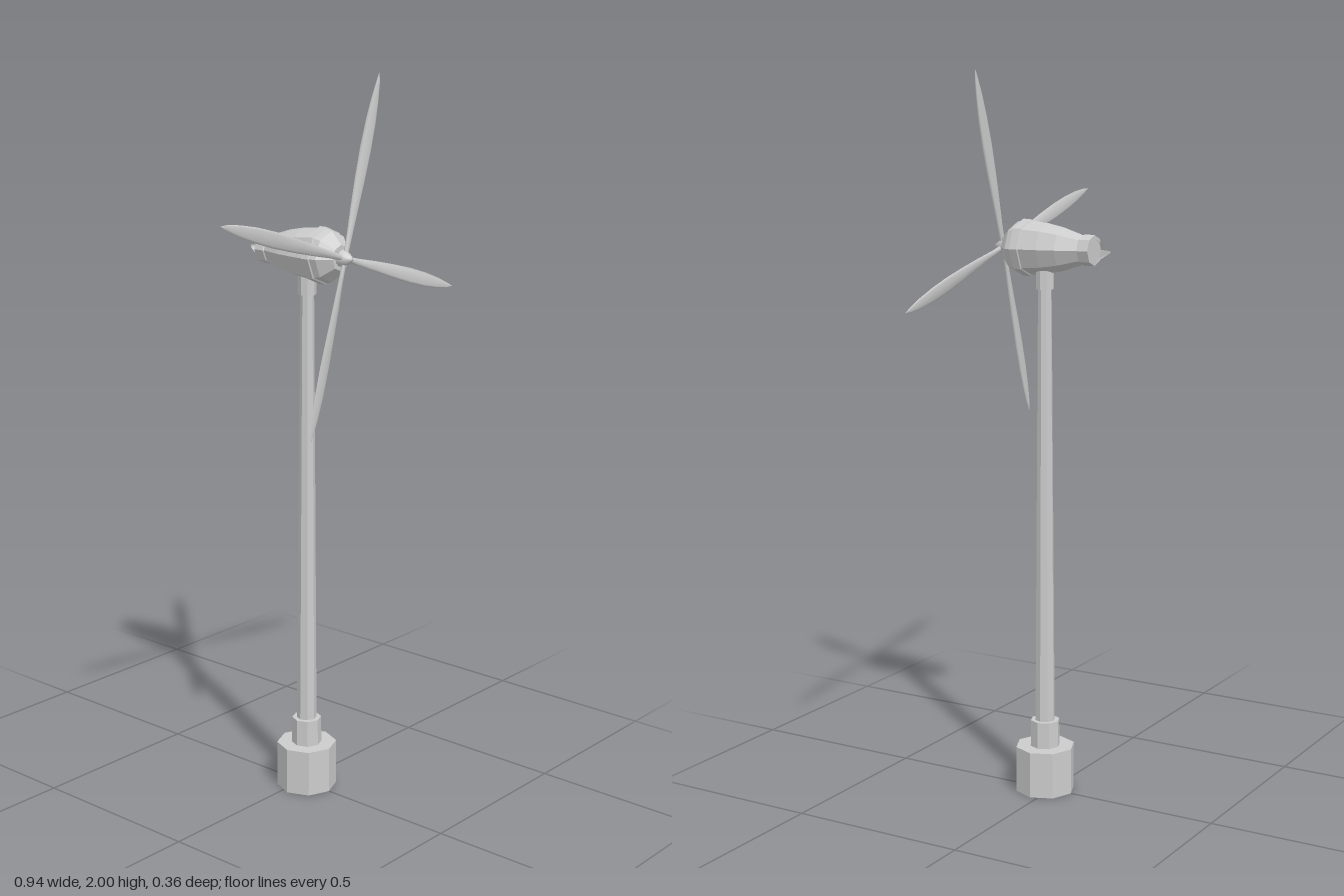
import * as THREE from 'three';

const AXIS_Y = 1.53, TOWER_Z = 0.02, SIDES = 8;

export function createModel() {
  const root = new THREE.Group();
  root.name = 'windTurbine';
  const faceted = new THREE.MeshStandardMaterial({ color: 0xcccccc, flatShading: true });
  const smooth = new THREE.MeshStandardMaterial({ color: 0xcccccc, side: THREE.DoubleSide });

  const add = (name, geometry, material = faceted, parent = root) => {
    const mesh = new THREE.Mesh(geometry, material);
    mesh.name = name;
    parent.add(mesh);
    return mesh;
  };

  // Tower: stacked eight-sided sections [name, bottom y, top y, bottom radius, top radius]
  [
    ['foundation', 0, 0.13, 0.084, 0.084],
    ['lowerCollar', 0.13, 0.205, 0.042, 0.041],
    ['mast', 0.2, 1.44, 0.028, 0.019],
    ['upperCollar', 1.42, 1.49, 0.025, 0.025],
  ].forEach(([name, y0, y1, r0, r1]) => {
    add(name, new THREE.CylinderGeometry(r1, r0, y1 - y0, SIDES))
      .position.set(0, (y0 + y1) / 2, TOWER_Z);
  });

  // Bodies turned around the rotor axis, profile as [radius, z] from back to front
  const turned = (name, profile, sides, material) => {
    const g = new THREE.LatheGeometry(profile.map(([r, z]) => new THREE.Vector2(r, z)), sides);
    add(name, g.rotateX(Math.PI / 2), material).position.y = AXIS_Y;
  };
  turned('nacelle', [
    [0, -0.133], [0.041, -0.133], [0.042, -0.102], [0.039, -0.1], [0.058, -0.04],
    [0.068, 0.01], [0.073, 0.062], [0.077, 0.064], [0.077, 0.087], [0.073, 0.089],
    [0.068, 0.106], [0.035, 0.138], [0, 0.138],
  ], SIDES);
  turned('tailCone', [[0.031, -0.135], [0.02, -0.155], [0.006, -0.178], [0, -0.18]], SIDES);
  turned('hub', [
    [0, 0.13], [0.023, 0.136], [0.023, 0.145], [0.018, 0.157], [0.009, 0.171], [0, 0.176],
  ], 12, smooth);

  // Four identical blades on the rotor
  const rotor = new THREE.Group();
  rotor.name = 'rotor';
  rotor.position.set(0, AXIS_Y, 0.151);
  const bladeGeometry = makeBlade();
  for (let i = 0; i < 4; i++) {
    add('blade' + (i + 1), bladeGeometry, smooth, rotor).rotation.z = -0.28 + i * Math.PI / 2;
  }
  root.add(rotor);
  return root;
}

// Blade along +y, lofted through lens sections [distance, left edge, right edge, half thickness]
function makeBlade() {
  const sections = [
    [0.01, -0.007, 0.007, 0.006], [0.06, -0.009, 0.01, 0.005], [0.13, -0.014, 0.014, 0.005],
    [0.21, -0.018, 0.019, 0.005], [0.29, -0.02, 0.022, 0.0045], [0.36, -0.018, 0.021, 0.004],
    [0.42, -0.013, 0.016, 0.003], [0.465, -0.006, 0.009, 0.002], [0.49, -0.0005, 0.0005, 0.0005],
  ];
  const n = 8, positions = [], index = [];
  sections.forEach(([y, left, right, thick], i) => {
    const twist = 0.2 * (1 - i / sections.length);
    for (let k = 0; k < n; k++) {
      const a = k / n * Math.PI * 2;
      const x = (left + right) / 2 + (right - left) / 2 * Math.cos(a);
      const z = thick * Math.sin(a);
      positions.push(x * Math.cos(twist) - z * Math.sin(twist), y,
        x * Math.sin(twist) + z * Math.cos(twist));
      if (i === sections.length - 1) continue;
      const p = i * n + k, q = i * n + (k + 1) % n;
      index.push(p, p + n, q, q, p + n, q + n);
    }
  });
  const g = new THREE.BufferGeometry();
  g.setAttribute('position', new THREE.Float32BufferAttribute(positions, 3));
  g.setIndex(index);
  g.computeVertexNormals();
  return g;
}
